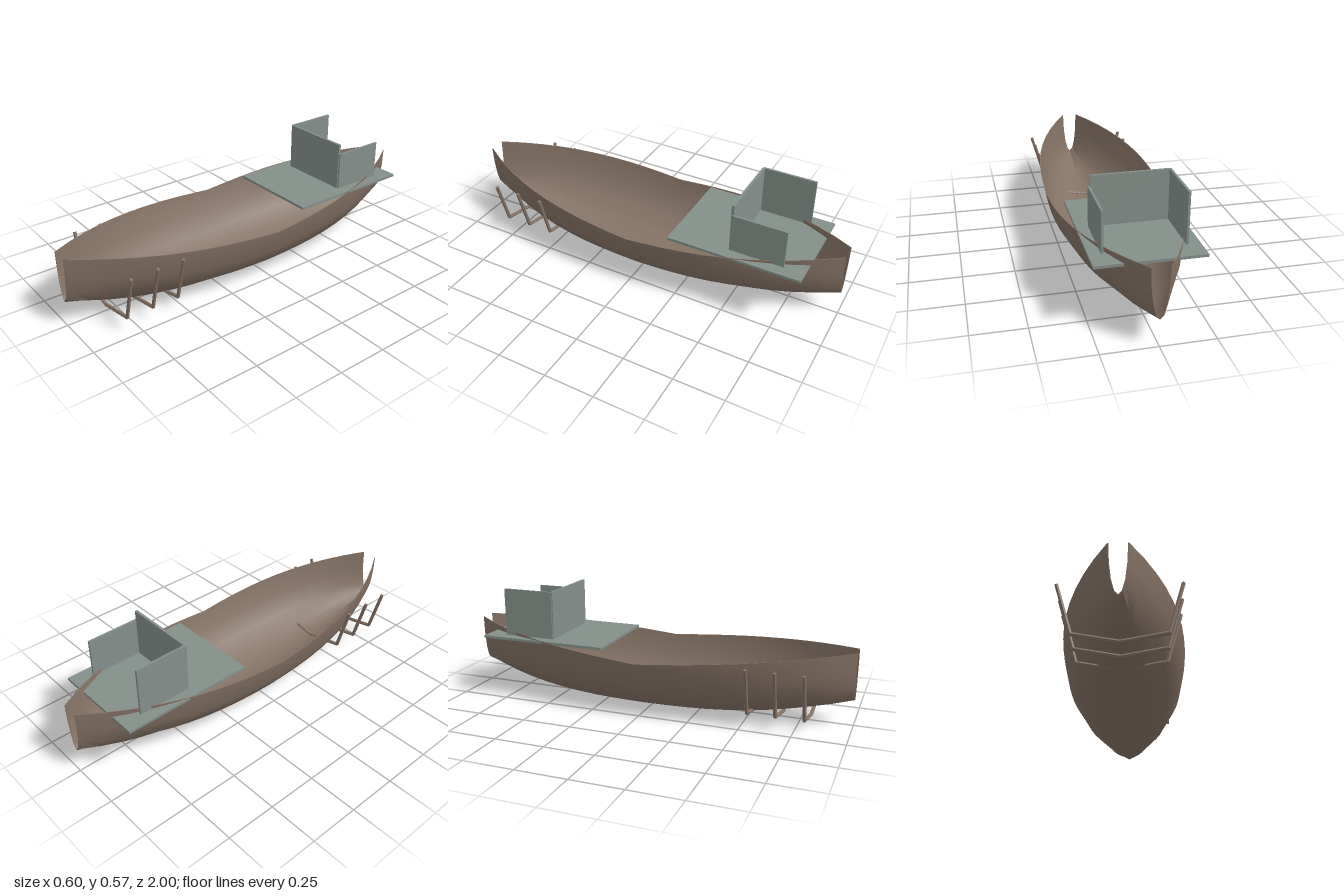
import * as THREE from 'three';
import { toCreasedNormals } from 'three/addons/utils/BufferGeometryUtils.js';

// Half-width, keel height and sheer height of the hull at z
const halfWidth = (z) => 0.3 - 0.257 * Math.abs(z) ** 2.5;
const keel = (z) => 0.002 + 0.128 * Math.abs(z) ** 2.7;
const sheer = (z) => 0.28 + 0.09 * Math.abs(z);

// Thin open shell: each station is a closed ring, outer skin out and inner skin back
function hullGeometry() {
  const stations = 20, n = 9, ring = 2 * n, t = 0.004;
  const pos = [], idx = [];
  const quad = (a, b, c, d) => idx.push(a, b, c, a, c, d);
  for (let j = 0; j <= stations; j++) {
    const z = -1 + (2 * j) / stations;
    for (let i = 0; i < ring; i++) {
      const inner = i >= n;
      const a = ((inner ? ring - 1 - i : i) / (n - 1) - 0.5) * Math.PI;
      const low = keel(z) + (inner ? t : 0);
      pos.push((halfWidth(z) - (inner ? t : 0)) * Math.sin(a), low + (sheer(z) - low) * (1 - Math.cos(a)), z);
    }
  }
  for (let j = 0; j < stations; j++) {
    for (let i = 0; i < ring; i++) {
      const k = (i + 1) % ring, p = j * ring, q = p + ring;
      quad(p + i, p + k, q + k, q + i);
    }
  }
  // Rims at the open ends
  const e = stations * ring;
  for (let i = 0; i < n - 1; i++) {
    const a = i, b = i + 1, c = ring - 2 - i, d = ring - 1 - i;
    quad(e + a, e + b, e + c, e + d);
    quad(d, c, b, a);
  }
  const g = new THREE.BufferGeometry();
  g.setAttribute('position', new THREE.Float32BufferAttribute(pos, 3));
  g.setIndex(idx);
  return toCreasedNormals(g, 0.75);
}

export function createModel() {
  const model = new THREE.Group();
  model.name = 'boat';
  const wood = new THREE.MeshStandardMaterial({ name: 'brown wood', color: 0x857366 });
  const metal = new THREE.MeshStandardMaterial({ name: 'grey metal', color: 0x848f8a });

  const add = (name, geometry, material, parent = model) => {
    const mesh = new THREE.Mesh(geometry, material);
    mesh.name = name;
    parent.add(mesh);
    return mesh;
  };
  // Box given by its limits on each axis
  const box = (name, x0, x1, y0, y1, z0, z1) =>
    add(name, new THREE.BoxGeometry(x1 - x0, y1 - y0, z1 - z0), metal)
      .position.set((x0 + x1) / 2, (y0 + y1) / 2, (z0 + z1) / 2);

  add('hull', hullGeometry(), wood);

  // Deck and three-sided shelter
  box('deck', -0.245, 0.245, 0.314, 0.327, -0.865, -0.2);
  box('shelterFront', -0.184, 0.182, 0.327, 0.57, -0.505, -0.492);
  box('shelterRight', -0.19, -0.179, 0.327, 0.57, -0.765, -0.497);
  box('shelterLeft', 0.179, 0.19, 0.327, 0.52, -0.765, -0.497);

  // Bent outer ribs near the bow
  const path = [[-0.264, 0.302], [-0.2, 0.071], [0, 0.033], [0.2, 0.071], [0.264, 0.302]]
    .map(([x, y]) => new THREE.Vector3(x, y, 0));
  const up = new THREE.Vector3(0, 1, 0);
  for (const z of [0.53, 0.665, 0.8]) {
    const rib = new THREE.Group();
    rib.name = 'rib';
    rib.position.z = z;
    for (let i = 0; i < path.length - 1; i++) {
      const dir = path[i + 1].clone().sub(path[i]);
      const len = dir.length();
      const geo = toCreasedNormals(new THREE.CylinderGeometry(0.009, 0.009, len + 0.003, 6), 0.5);
      const bar = add('ribBar', geo, wood, rib);
      bar.position.copy(path[i]).addScaledVector(dir, 0.5);
      bar.quaternion.setFromUnitVectors(up, dir.normalize());
    }
    model.add(rib);
  }
  return model;
}
